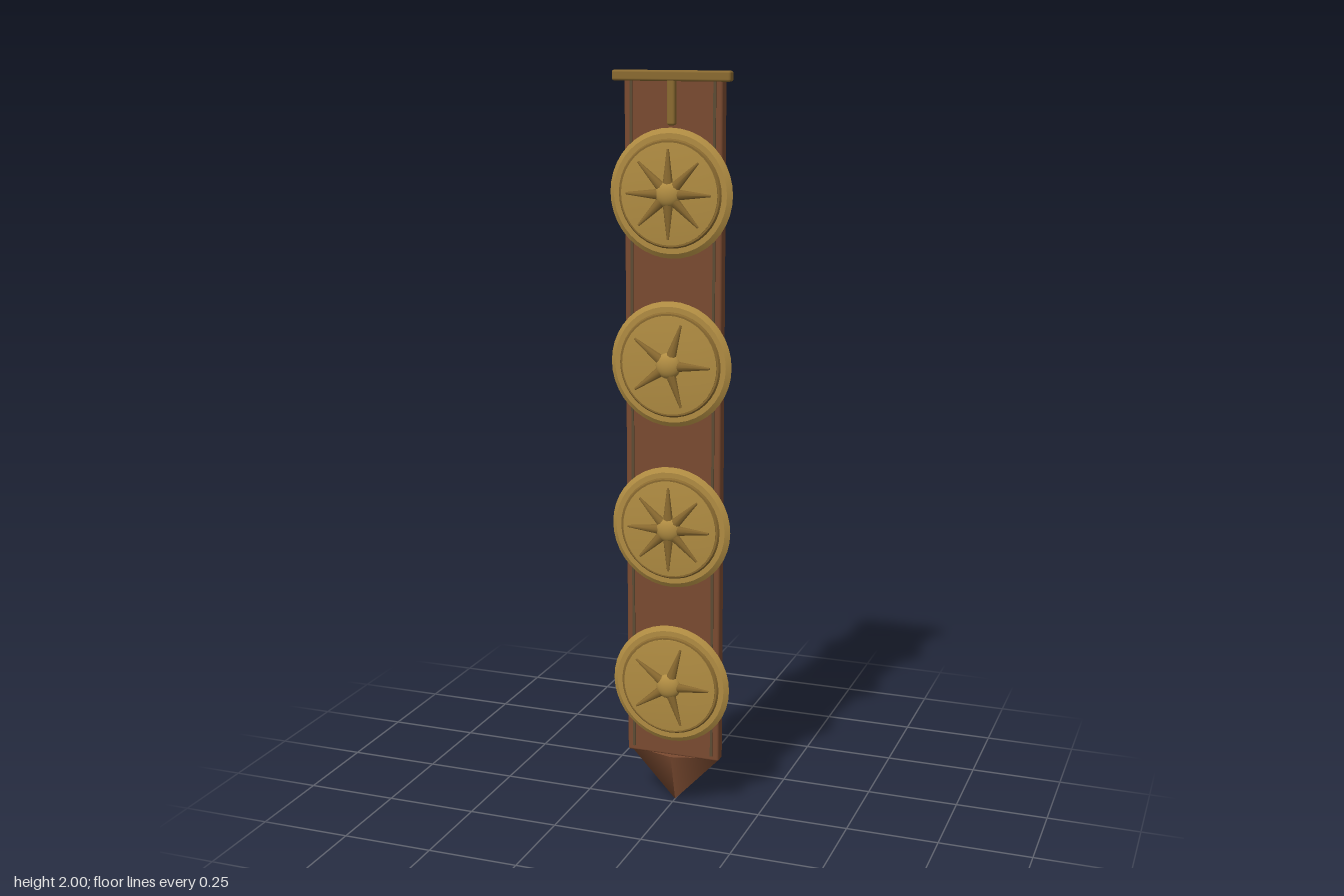
import * as THREE from 'three';
import { toCreasedNormals } from 'three/addons/utils/BufferGeometryUtils.js';
import { RoundedBoxGeometry } from 'three/addons/geometries/RoundedBoxGeometry.js';

const mat = (name, color) => new THREE.MeshStandardMaterial({ name, color });

export function createModel() {
  const leather = mat('leather', 0x7a4a30);
  const edging = mat('edging', 0x5c4c34);
  const gold = mat('gold', 0xb08c42);
  const bronze = mat('bronze', 0x8a6a30);
  const model = new THREE.Group();
  model.name = 'strapOrnament';

  const add = (parent, name, geometry, material, x = 0, y = 0, z = 0) => {
    const mesh = new THREE.Mesh(geometry, material);
    mesh.name = name;
    mesh.position.set(x, y, z);
    parent.add(mesh);
    return mesh;
  };

  // Round part turned about the z axis from (radius, height) pairs
  const turned = (pairs, segments) => toCreasedNormals(
    new THREE.LatheGeometry(pairs.map(([r, h]) => new THREE.Vector2(r, h)), segments)
      .rotateX(Math.PI / 2), 0.45);

  // Leather strap with a raised line along each edge
  add(model, 'strap', new RoundedBoxGeometry(0.266, 1.86, 0.036, 2, 0.006), leather, 0, 1.068, -0.019);
  for (const s of [-1, 1]) {
    add(model, 'edgeLine', new THREE.BoxGeometry(0.007, 1.83, 0.005), edging, s * 0.113, 1.068, 0);
  }

  // Flattened four-sided point at the lower end
  const tip = add(model, 'tip', new THREE.ConeGeometry(0.132, 0.14, 4).rotateX(Math.PI), leather, 0, 0.07, -0.02);
  tip.scale.z = 0.28;

  // Hanging bar and its short stem
  add(model, 'topBar', new RoundedBoxGeometry(0.32, 0.027, 0.029, 2, 0.006), bronze, 0, 1.986, 0.004);
  add(model, 'stem', new RoundedBoxGeometry(0.022, 0.125, 0.022, 2, 0.006), bronze, 0, 1.925, 0.006);

  // Medallions, alternating between eight and five rays
  const rim = turned([[0, 0], [0.152, 0], [0.167, 0.012], [0.154, 0.021], [0.138, 0.021]], 40);
  const groove = turned([[0.14, 0.016], [0.14, 0.021], [0.136, 0.026], [0.129, 0.026]], 40);
  const face = turned([[0.131, 0.018], [0.131, 0.029], [0.09, 0.033], [0, 0.035]], 40);
  const boss = new THREE.SphereGeometry(0.035, 20, 10, 0, Math.PI * 2, 0, Math.PI / 2)
    .rotateX(Math.PI / 2).scale(1, 1, 0.6);
  const rayLength = 0.09;
  const ray = new THREE.CylinderGeometry(0.003, 0.014, rayLength, 8)
    .translate(0, 0.025 + rayLength / 2, 0).scale(1, 1, 0.7).rotateZ(-Math.PI / 2);

  [[1.69, 8], [1.245, 5], [0.8, 8], [0.355, 5]].forEach(([y, count]) => {
    const medallion = new THREE.Group();
    medallion.name = 'medallion';
    medallion.position.y = y;
    add(medallion, 'rim', rim, gold);
    add(medallion, 'innerRing', groove, bronze);
    add(medallion, 'face', face, gold);
    add(medallion, 'boss', boss, gold, 0, 0, 0.032);
    for (let i = 0; i < count; i++) {
      add(medallion, 'ray', ray, bronze, 0, 0, 0.036).rotation.z = (i / count) * Math.PI * 2;
    }
    model.add(medallion);
  });
  return model;
}
